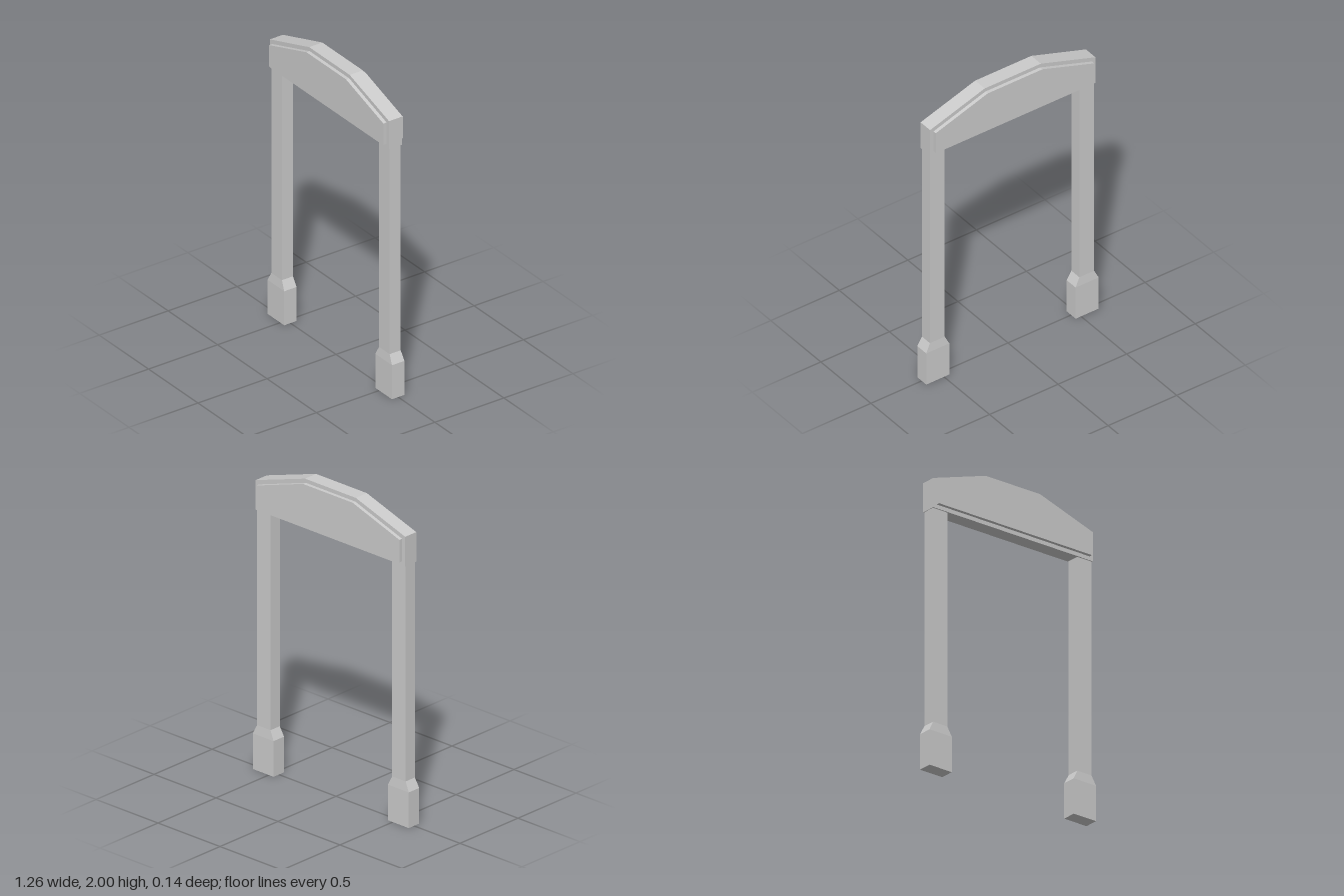
import * as THREE from 'three';

const material = new THREE.MeshStandardMaterial({ color: 0xcccccc, flatShading: true });

function addMesh(parent, name, geometry) {
  const mesh = new THREE.Mesh(geometry, material);
  mesh.name = name;
  parent.add(mesh);
  return mesh;
}

// Plate with a gabled outline, flat along the middle of its top, centred on z = 0
function gable(halfWidth, bottom, eave, halfRidge, top, depth) {
  const shape = new THREE.Shape([
    [-halfWidth, bottom], [halfWidth, bottom], [halfWidth, eave],
    [halfRidge, top], [-halfRidge, top], [-halfWidth, eave],
  ].map(([x, y]) => new THREE.Vector2(x, y)));
  return new THREE.ExtrudeGeometry(shape, { depth, bevelEnabled: false }).translate(0, 0, -depth / 2);
}

// Box from y0 to y1 whose top face may be smaller than its base
function taperedBox(width, depth, y0, y1, topWidth = width, topDepth = depth) {
  const geometry = new THREE.BoxGeometry(width, y1 - y0, depth).translate(0, (y0 + y1) / 2, 0);
  const p = geometry.attributes.position;
  for (let i = 0; i < p.count; i++) {
    if (p.getY(i) > (y0 + y1) / 2) {
      p.setX(i, p.getX(i) * topWidth / width);
      p.setZ(i, p.getZ(i) * topDepth / depth);
    }
  }
  geometry.computeVertexNormals();
  return geometry;
}

export function createModel() {
  const model = new THREE.Group();
  model.name = 'archway';

  // Legs: wide foot, sloping shoulder, slim post
  for (const side of [-1, 1]) {
    const leg = new THREE.Group();
    leg.name = side > 0 ? 'leftLeg' : 'rightLeg';
    leg.position.x = side * 0.545;
    addMesh(leg, 'foot', taperedBox(0.168, 0.09, 0, 0.23));
    addMesh(leg, 'shoulder', taperedBox(0.168, 0.09, 0.23, 0.29, 0.108, 0.08));
    addMesh(leg, 'post', taperedBox(0.108, 0.08, 0.29, 1.68));
    model.add(leg);
  }

  // Header beam with a raised panel on both faces
  addMesh(model, 'headerBeam', gable(0.603, 1.68, 1.87, 0.205, 2, 0.095));
  for (const side of [-1, 1]) {
    const panel = addMesh(model, side > 0 ? 'frontPanel' : 'backPanel',
      gable(0.578, 1.705, 1.85, 0.2, 1.975, 0.024));
    panel.position.z = side * 0.0585;
  }

  return model;
}
